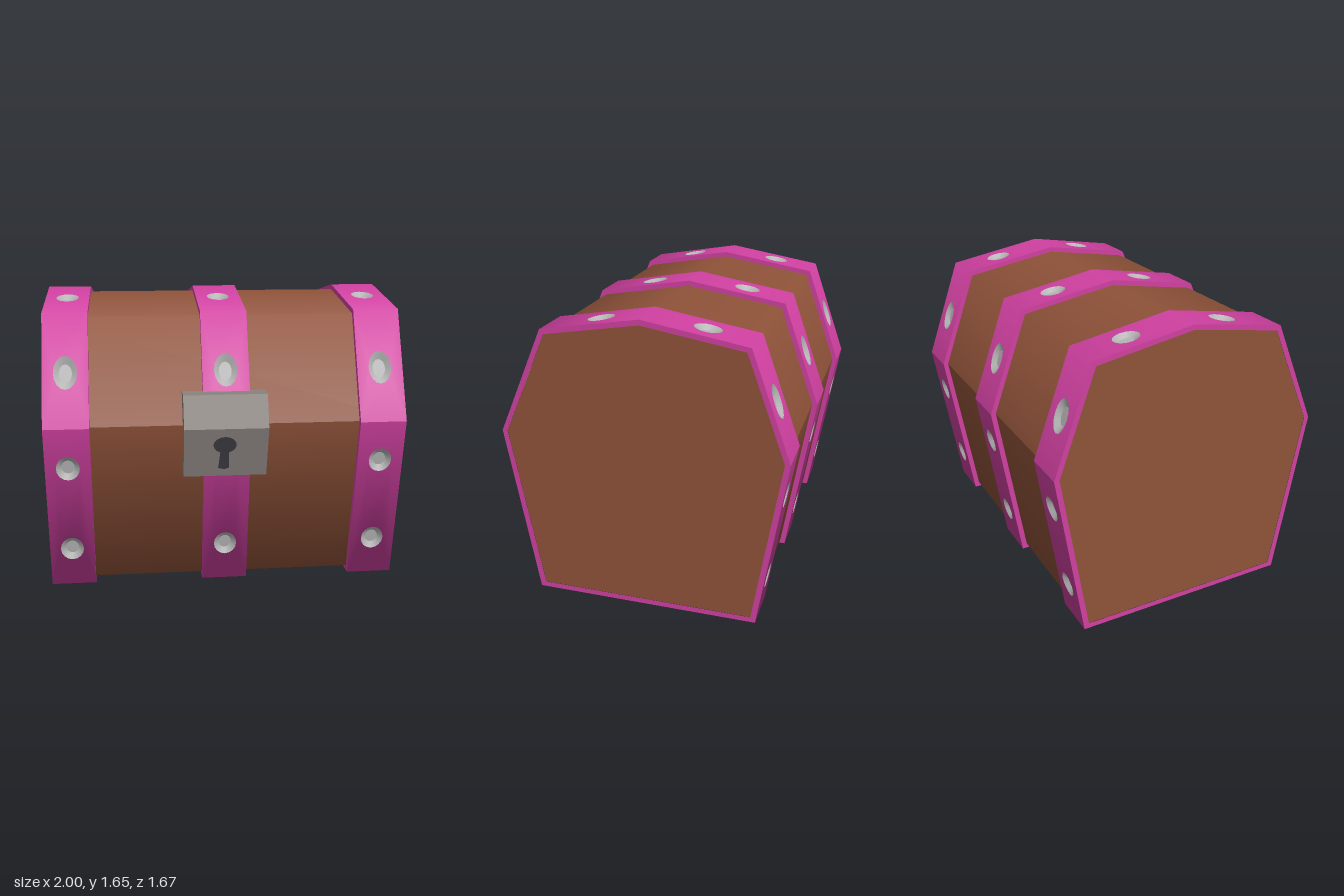
import * as THREE from 'three';
import { mergeGeometries, toCreasedNormals } from 'three/addons/utils/BufferGeometryUtils.js';

const mat = (name, color, side = THREE.FrontSide) => {
  const m = new THREE.MeshStandardMaterial({ color, side });
  m.name = name;
  return m;
};

// Chest cross-sections as [z, y]: front bottom, front waist, over the lid, back waist, back bottom
const OUTER = [[0.595, 0], [0.765, 0.965], [0.505, 1.56], [-0.04, 1.655], [-0.615, 1.56], [-0.83, 0.965], [-0.675, 0]];
const INNER = [[0.565, 0.03], [0.735, 0.965], [0.483, 1.535], [-0.04, 1.625], [-0.593, 1.535], [-0.80, 0.965], [-0.648, 0.03]];
const LID = [1, 2, 3, 4], BASE = [5, 6, 0];
const WAIST = [1, 5]; // hard edges where the lid meets the base

// Rivet cups per panel: positions along it, and lengthwise stretch
const RIVETS = [
  { at: [0.24, 0.76], stretch: 1.1 }, { at: [0.48], stretch: 1.45 }, { at: [0.54], stretch: 1.15 },
  { at: [0.56], stretch: 1.15 }, { at: [0.52], stretch: 1.45 }, { at: [0.24, 0.76], stretch: 1.1 },
  { at: [0.25, 0.75], stretch: 1.1 },
];
const R = 0.065;

// Frame of panel i: x across, d along the profile, n outwards
function panelFrame(profile, i) {
  const [z0, y0] = profile[i], [z1, y1] = profile[(i + 1) % profile.length];
  const d = new THREE.Vector3(0, y1 - y0, z1 - z0);
  const length = d.length();
  d.normalize();
  const n = new THREE.Vector3(0, -d.z, d.y);
  const matrix = new THREE.Matrix4()
    .makeBasis(new THREE.Vector3(1, 0, 0), d, n).setPosition(0, y0, z0);
  return { length, n, matrix };
}

// Normal at corner c as seen from panel i, rounded except at the waist
function cornerNormal(profile, c, i) {
  const count = profile.length;
  c %= count;
  if (WAIST.includes(c)) return panelFrame(profile, i).n;
  const a = panelFrame(profile, c), b = panelFrame(profile, (c + count - 1) % count);
  return a.n.multiplyScalar(a.length).add(b.n.multiplyScalar(b.length)).normalize();
}

// One wall panel from x0 to x1, optionally pierced for rivets
function panel(profile, i, x0, x1, pierced) {
  const { length, matrix } = panelFrame(profile, i);
  const shape = new THREE.Shape();
  shape.moveTo(x0, 0).lineTo(x1, 0).lineTo(x1, length).lineTo(x0, length).closePath();
  if (pierced) {
    for (const t of RIVETS[i].at) {
      shape.holes.push(new THREE.Path().absellipse((x0 + x1) / 2, t * length, R, R * RIVETS[i].stretch, 0, Math.PI * 2, true));
    }
  }
  const geo = new THREE.ShapeGeometry(shape, 8);
  const na = cornerNormal(profile, i, i), nb = cornerNormal(profile, i + 1, i);
  const pos = geo.attributes.position, v = new THREE.Vector3();
  for (let k = 0; k < pos.count; k++) {
    v.lerpVectors(na, nb, pos.getY(k) / length).normalize();
    geo.attributes.normal.setXYZ(k, v.x, v.y, v.z);
    v.fromBufferAttribute(pos, k).applyMatrix4(matrix);
    pos.setXYZ(k, v.x, v.y, v.z);
  }
  return geo;
}

// Flat end face at x, facing side s, with an optional opening
function endFace(profile, x, s, opening) {
  const pts = (p) => p.map(([z, y]) => new THREE.Vector2(-s * z, y));
  const shape = new THREE.Shape(pts(profile));
  if (opening) shape.holes.push(new THREE.Path(pts(opening)));
  return new THREE.ShapeGeometry(shape).rotateY(s * Math.PI / 2).translate(x, 0, 0);
}

export function createModel() {
  const chest = new THREE.Group();
  chest.name = 'chest';
  const wood = mat('brown wood', 0x8f5239);
  const strap = mat('magenta strap', 0xcf40a0);
  const steel = mat('rivet steel', 0xb4b4b4, THREE.DoubleSide);
  const iron = mat('lock iron', 0x8a827f);
  const dark = mat('keyhole dark', 0x3e3c42, THREE.DoubleSide);
  const add = (parent, name, geo, material) => {
    const mesh = new THREE.Mesh(geo, material);
    mesh.name = name;
    parent.add(mesh);
    return mesh;
  };

  // Wooden body
  const walls = (ids) => mergeGeometries(ids.map((i) => panel(INNER, i, -0.998, 0.998, false)));
  add(chest, 'lid', walls(LID), wood);
  add(chest, 'base', walls(BASE), wood);
  add(chest, 'leftEnd', endFace(INNER, 0.998, 1), wood);
  add(chest, 'rightEnd', endFace(INNER, -0.998, -1), wood);

  // Straps with sunken rivet cups
  const cup = toCreasedNormals(new THREE.LatheGeometry(
    [[0, -0.023], [0.036, -0.023], [R, 0]].map(([r, y]) => new THREE.Vector2(r, y)), 16), 0.5).rotateX(Math.PI / 2);
  for (const [name, x0, x1] of [['rightStrap', -1, -0.75], ['middleStrap', -0.13, 0.13], ['leftStrap', 0.74, 1]]) {
    const group = new THREE.Group();
    group.name = name;
    chest.add(group);
    const parts = OUTER.map((_, i) => panel(OUTER, i, x0, x1, true));
    parts.push(endFace(OUTER, x1, 1, INNER), endFace(OUTER, x0, -1, INNER));
    add(group, 'band', mergeGeometries(parts), strap);
    RIVETS.forEach(({ at, stretch }, i) => {
      const { length, matrix } = panelFrame(OUTER, i);
      for (const t of at) {
        const geo = cup.clone().scale(1, stretch, 1).translate((x0 + x1) / 2, t * length, 0).applyMatrix4(matrix);
        add(group, 'rivet', geo, steel);
      }
    });
  }

  // Lock: a wedge-fronted block
  const lock = new THREE.Group();
  lock.name = 'lock';
  chest.add(lock);
  const side = [[0.84, 0.965], [0.775, 1.14], [0.66, 1.14], [0.70, 0.965], [0.66, 0.68], [0.76, 0.68]];
  const block = new THREE.ExtrudeGeometry(
    new THREE.Shape(side.map(([z, y]) => new THREE.Vector2(-z, y))), { depth: 0.46, bevelEnabled: false });
  add(lock, 'lockBlock', block.rotateY(Math.PI / 2).translate(-0.245, 0, 0), iron);

  // Keyhole lying on the lower front slope of the lock
  const hole = new THREE.Group();
  hole.name = 'keyhole';
  hole.position.set(-0.022, 0.87, 0.84 - 0.095 * 0.08 / 0.285 + 0.003);
  hole.rotation.x = Math.atan2(0.08, 0.285);
  lock.add(hole);
  add(hole, 'keyholeTop', new THREE.CircleGeometry(0.056, 24).scale(1.12, 0.9, 1), dark);
  const slot = new THREE.Shape([[-0.022, -0.02], [-0.034, -0.145], [0, -0.155], [0.026, -0.145], [0.022, -0.02]]
    .map(([x, y]) => new THREE.Vector2(x, y)));
  add(hole, 'keyholeSlot', new THREE.ShapeGeometry(slot), dark);

  return chest;
}
